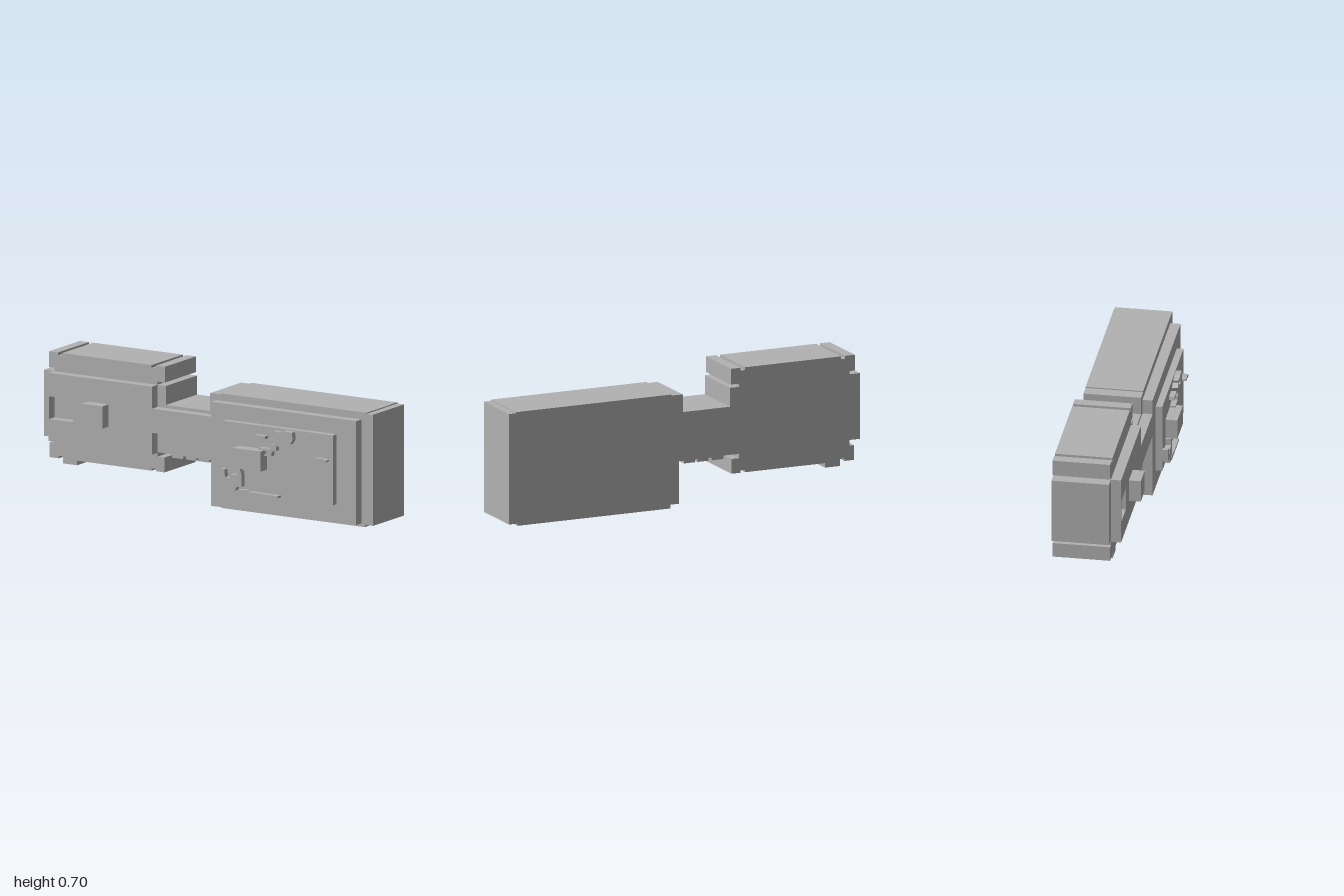
import * as THREE from 'three';

const grey = new THREE.MeshStandardMaterial({ color: 0xb2b2b2 });
grey.name = 'plain grey';

function outline(points) {
  return new THREE.Shape(points.map(([x, y]) => new THREE.Vector2(x, y)));
}

// Extrude an outline in the xy plane from depth z0 to z1
function slab(name, shape, z0, z1) {
  const geometry = new THREE.ExtrudeGeometry(shape, { depth: z1 - z0, bevelEnabled: false });
  geometry.translate(0, 0, z0);
  const mesh = new THREE.Mesh(geometry, grey);
  mesh.name = name;
  return mesh;
}

function rect(x0, x1, y0, y1) {
  return [[x0, y0], [x1, y0], [x1, y1], [x0, y1]];
}

export function createModel() {
  const model = new THREE.Group();
  model.name = 'steppedBlock';

  // Main body: small notched block, neck and large block, clockwise from upper left
  const body = outline([
    [-0.97, 0.703], [-0.915, 0.703], [-0.915, 0.688], [-0.89, 0.688], [-0.89, 0.703],
    [-0.345, 0.703], [-0.345, 0.688], [-0.32, 0.688], [-0.32, 0.703], [-0.265, 0.703],
    [-0.265, 0.62], [-0.31, 0.62], [-0.31, 0.603], [-0.258, 0.603], [-0.258, 0.503],
    [0.01, 0.503], [0.01, 0.597], [0.075, 0.597], [0.075, 0.603], [0.96, 0.603],
    [0.96, 0.597], [1, 0.597], [1, 0.012], [0.95, 0.012], [0.95, 0], [0.08, 0],
    [0.08, 0.02], [0.03, 0.02], [0.03, 0.245],
    // teeth under the neck
    [0.003, 0.245], [0.003, 0.23], [-0.06, 0.23], [-0.06, 0.245], [-0.073, 0.245],
    [-0.073, 0.23], [-0.137, 0.23], [-0.137, 0.245], [-0.155, 0.245], [-0.155, 0.23],
    [-0.222, 0.23], [-0.222, 0.248],
    // underside of the small block
    [-0.31, 0.248], [-0.31, 0.225], [-0.267, 0.225], [-0.267, 0.147], [-0.32, 0.147],
    [-0.32, 0.16], [-0.345, 0.16], [-0.345, 0.147], [-0.8, 0.147], [-0.8, 0.123],
    [-0.885, 0.123], [-0.885, 0.16], [-0.91, 0.16], [-0.91, 0.147], [-0.965, 0.147],
    [-0.965, 0.225], [-0.94, 0.225], [-0.94, 0.255], [-1, 0.255], [-1, 0.603],
    [-0.94, 0.603], [-0.94, 0.62], [-0.97, 0.62],
  ]);
  model.add(slab('body', body, -0.225, 0.075));

  // Raised front plate with a square recess
  const plate = outline([
    [-0.94, 0.245], [-0.31, 0.245], [-0.31, 0.36], [0.05, 0.36], [0.05, 0.018],
    [0.93, 0.018], [0.93, 0.565], [0.05, 0.565], [0.05, 0.487], [-0.31, 0.487],
    [-0.31, 0.603], [-0.94, 0.603],
  ]);
  plate.holes.push(outline(rect(-0.935, -0.79, 0.36, 0.48)));
  model.add(slab('frontPlate', plate, 0.075, 0.128));

  // Square button, display panel and central block
  model.add(slab('button', outline(rect(-0.695, -0.573, 0.362, 0.48)), 0.128, 0.19));
  model.add(slab('panel', outline(rect(0.145, 0.813, 0.115, 0.483)), 0.128, 0.163));
  model.add(slab('centreBlock', outline(rect(0.24, 0.412, 0.257, 0.363)), 0.163, 0.226));

  // Small irregular reliefs on the panel
  const reliefs = [
    [[0.35, 0.42], [0.415, 0.422], [0.42, 0.438], [0.355, 0.438]],
    [[0.452, 0.44], [0.49, 0.45], [0.545, 0.452], [0.545, 0.43], [0.527, 0.425], [0.53, 0.41],
      [0.57, 0.412], [0.585, 0.435], [0.582, 0.475], [0.53, 0.478], [0.505, 0.468],
      [0.47, 0.472], [0.475, 0.46]],
    [[0.41, 0.335], [0.455, 0.337], [0.46, 0.362], [0.485, 0.368], [0.485, 0.388], [0.47, 0.4],
      [0.45, 0.395], [0.447, 0.375], [0.38, 0.372], [0.38, 0.362], [0.43, 0.36]],
    [[0.715, 0.348], [0.785, 0.342], [0.79, 0.352], [0.75, 0.36], [0.715, 0.356]],
    [[0.145, 0.17], [0.2, 0.165], [0.195, 0.137], [0.235, 0.13], [0.245, 0.15], [0.275, 0.155],
      [0.275, 0.218], [0.262, 0.255], [0.245, 0.25], [0.245, 0.215], [0.205, 0.212],
      [0.205, 0.192], [0.175, 0.195], [0.17, 0.235], [0.145, 0.237]],
    [[0.26, 0.12], [0.495, 0.12], [0.495, 0.131], [0.32, 0.133], [0.305, 0.142], [0.26, 0.138]],
  ];
  reliefs.forEach((points, i) => model.add(slab(`relief${i + 1}`, outline(points), 0.163, 0.193)));

  return model;
}
